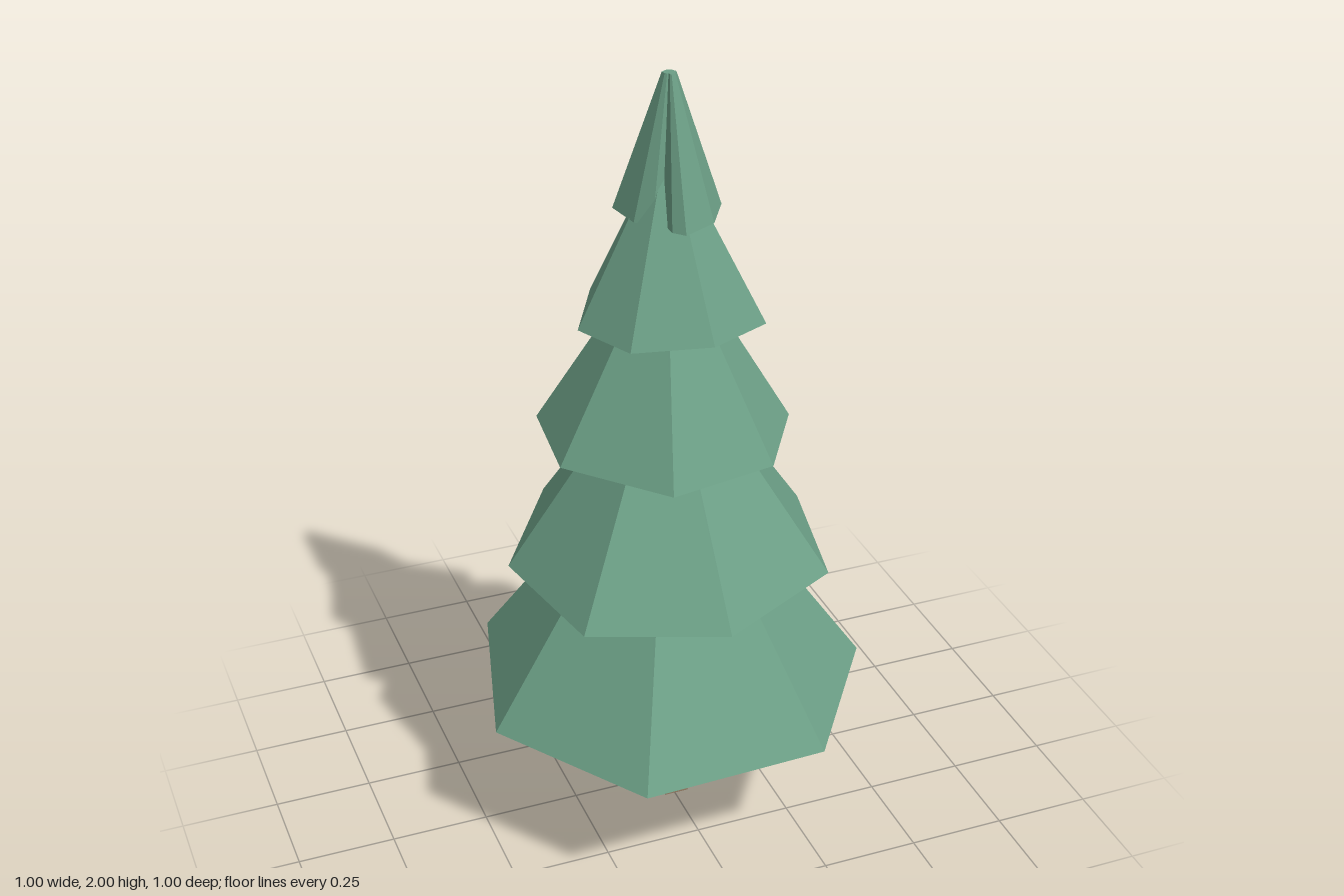
import * as THREE from 'three';

const needles = new THREE.MeshStandardMaterial({ color: 0x6c9f86, flatShading: true });
needles.name = 'needleGreen';
const bark = new THREE.MeshStandardMaterial({ color: 0x927962, flatShading: true });
bark.name = 'barkBrown';

// Closed faceted cone: uneven rim of [x, z] points, narrowing to a small tip ring
function tierGeometry({ rim, y, tilt, top, tip, tipX = 0, tipZ = 0.02 }) {
  const n = rim.length;
  const cz = 0.015;
  const low = rim.map(([x, z]) => [x, y + tilt * z, z]);
  const high = rim.map(([x, z]) => [tipX + x * tip, top, tipZ + (z - cz) * tip]);
  const lowMid = [0, y, cz];
  const highMid = [tipX, top, tipZ];
  const pos = [];
  for (let i = 0; i < n; i++) {
    const j = (i + 1) % n;
    pos.push(...low[i], ...high[i], ...high[j]); // slope
    pos.push(...low[i], ...high[j], ...low[j]);
    pos.push(...lowMid, ...low[i], ...low[j]); // underside
    pos.push(...highMid, ...high[j], ...high[i]); // tip cap
  }
  const g = new THREE.BufferGeometry();
  g.setAttribute('position', new THREE.Float32BufferAttribute(pos, 3));
  g.computeVertexNormals();
  return g;
}

// Rims run from the back, round the +x side, to the front and on
const tiers = [
  { y: 0.37, tilt: -0.03, top: 1.07, tip: 0.03,
    rim: [[0, -0.5], [0.4, -0.31], [0.5, 0.12], [0.24, 0.485], [-0.235, 0.5], [-0.5, 0.13], [-0.38, -0.325]] },
  { y: 0.735, tilt: -0.015, top: 1.32, tip: 0.03,
    rim: [[-0.2, -0.36], [0.16, -0.38], [0.41, -0.09], [0.335, 0.27], [0.005, 0.44], [-0.325, 0.315], [-0.4, -0.04]] },
  { y: 1.08, tilt: -0.02, top: 1.6, tip: 0.03,
    rim: [[-0.025, -0.285], [0.235, -0.2], [0.31, 0.06], [0.175, 0.275], [-0.1, 0.325], [-0.305, 0.105], [-0.28, -0.15]] },
  { y: 1.39, tilt: -0.01, top: 1.83, tip: 0.04,
    rim: [[-0.125, -0.175], [0.08, -0.175], [0.225, -0.065], [0.205, 0.145], [0.045, 0.215], [-0.15, 0.175], [-0.225, 0.02]] },
  // Crown, with a small notch in its front left edge
  { y: 1.655, tilt: -0.04, top: 2, tip: 0.13, tipX: 0.005,
    rim: [[-0.01, -0.105], [0.085, -0.085], [0.14, 0.015], [0.085, 0.105], [0, 0.145],
      [-0.025, 0.12], [-0.028, 0.065], [-0.055, 0.07], [-0.09, 0.04], [-0.11, -0.05]] },
];

export function createModel() {
  const tree = new THREE.Group();
  tree.name = 'pineTree';

  // Trunk
  const trunk = new THREE.Mesh(new THREE.CylinderGeometry(0.058, 0.07, 0.44, 7), bark);
  trunk.name = 'trunk';
  trunk.position.set(0.005, 0.22, 0.02);
  trunk.rotation.y = Math.PI;
  tree.add(trunk);

  // Branch tiers
  tiers.forEach((t, i) => {
    const mesh = new THREE.Mesh(tierGeometry(t), needles);
    mesh.name = i === tiers.length - 1 ? 'crown' : `branchTier${i + 1}`;
    tree.add(mesh);
  });
  return tree;
}
